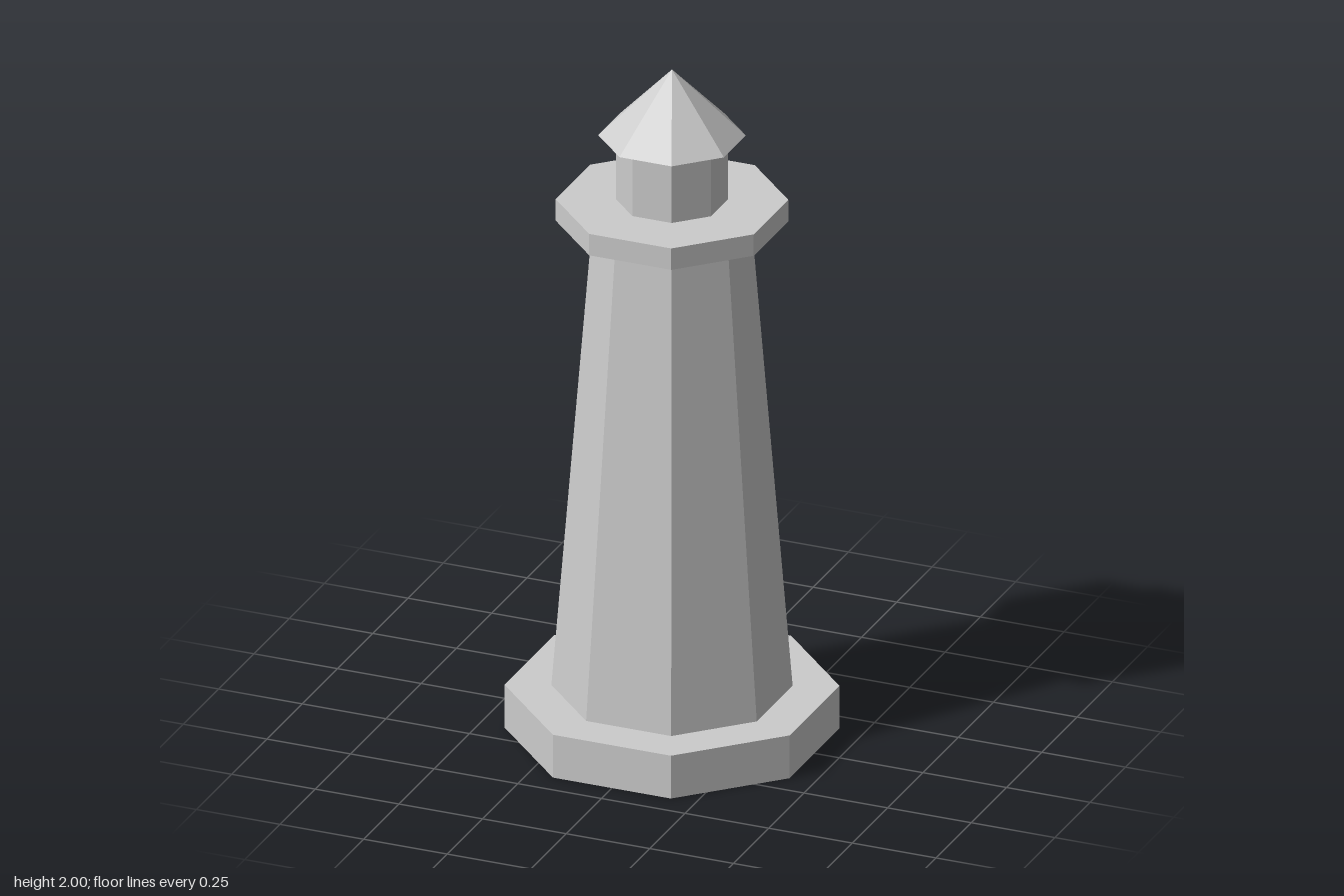
import * as THREE from 'three';

const SIDES = 8;

export function createModel() {
  const group = new THREE.Group();
  group.name = 'lighthouse';

  const stone = new THREE.MeshStandardMaterial({ color: 0xcccccc, flatShading: true });
  stone.name = 'pale grey stone';

  // Octagonal section with a flat side facing front; sizes are centre-to-flat distances.
  function addSection(name, bottom, top, y0, y1) {
    const toRadius = 1 / Math.cos(Math.PI / SIDES);
    const geometry = new THREE.CylinderGeometry(top * toRadius, bottom * toRadius, y1 - y0, SIDES);
    geometry.rotateY(Math.PI / SIDES);
    const mesh = new THREE.Mesh(geometry, stone);
    mesh.name = name;
    mesh.position.y = (y0 + y1) / 2;
    group.add(mesh);
  }

  addSection('base', 0.426, 0.426, 0, 0.13);
  addSection('tower', 0.307, 0.202, 0.13, 1.54);
  addSection('gallery', 0.296, 0.296, 1.54, 1.605);
  addSection('lanternRoom', 0.142, 0.142, 1.605, 1.8);
  addSection('roof', 0.188, 0, 1.8, 2);

  return group;
}
